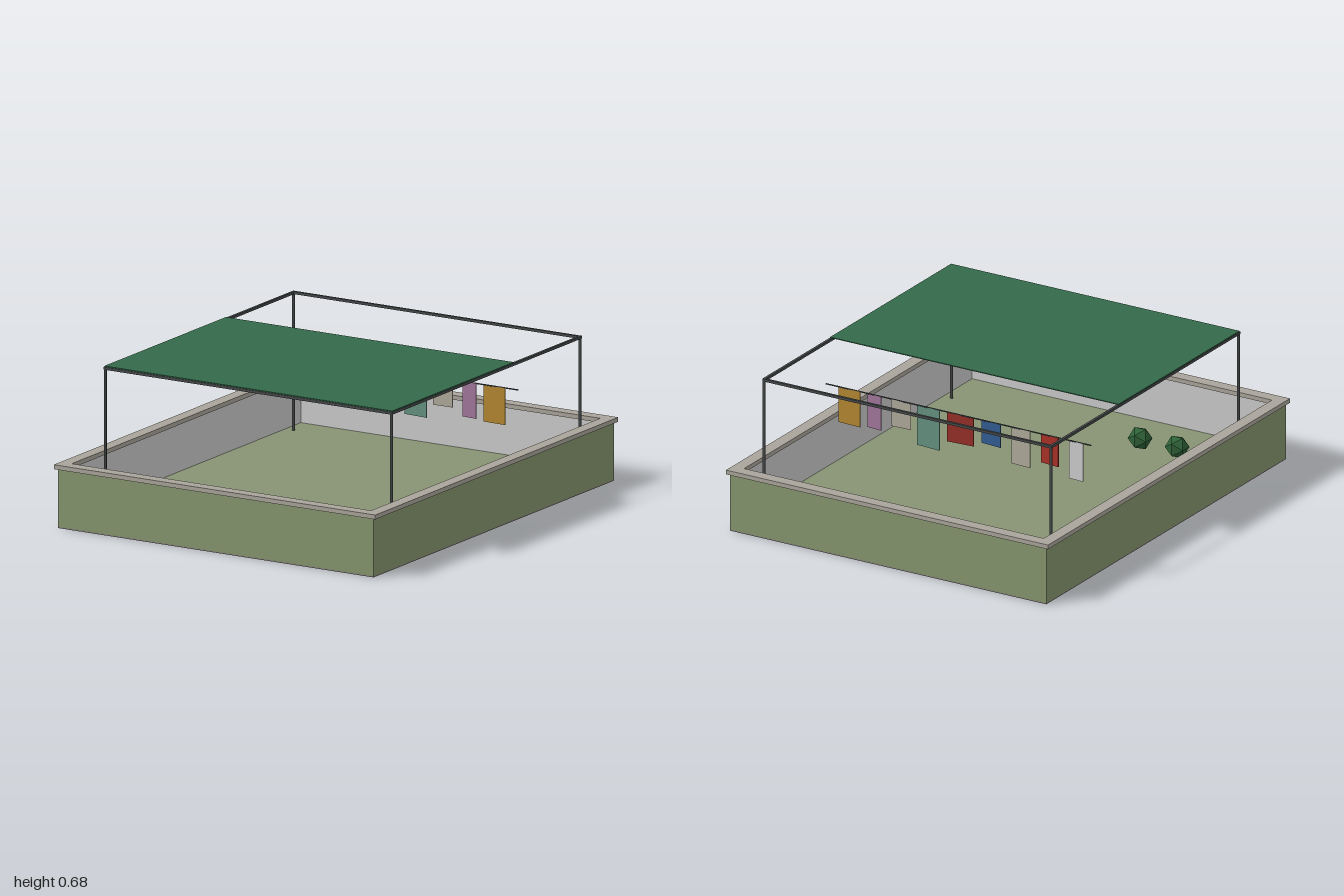
import * as THREE from 'three';

const FLOOR = 0.05;

export function createModel() {
  const model = new THREE.Group();
  const paint = (color) => new THREE.MeshStandardMaterial({ color });
  const steel = paint(0x454849);

  function add(name, geometry, material, x = 0, y = 0, z = 0, parent = model) {
    const mesh = new THREE.Mesh(geometry, material);
    mesh.name = name;
    mesh.position.set(x, y, z);
    parent.add(mesh);
    return mesh;
  }
  const box = (name, w, h, d, material, x, y, z, parent) =>
    add(name, new THREE.BoxGeometry(w, h, d), material, x, y, z, parent);

  // Rectangular ring lying flat: half sizes, wall thickness, bottom and top
  function ring(name, hx, hz, t, y0, y1, material) {
    const rect = (Type, a, b) => {
      const p = new Type();
      p.moveTo(-a, -b).lineTo(a, -b).lineTo(a, b).lineTo(-a, b).closePath();
      return p;
    };
    const shape = rect(THREE.Shape, hx, hz);
    shape.holes.push(rect(THREE.Path, hx - t, hz - t));
    const g = new THREE.ExtrudeGeometry(shape, { depth: y1 - y0, bevelEnabled: false });
    g.rotateX(-Math.PI / 2);
    add(name, g, material, 0, y0, 0);
  }

  // Roof slab, floor finish and parapet
  box('roofSlab', 1.62, 0.006, 1.98, paint(0x857f78), 0, 0.003, 0);
  box('terraceFloor', 1.56, FLOOR - 0.006, 1.92, paint(0x879473), 0, (FLOOR + 0.006) / 2, 0);
  ring('parapetOuterWall', 0.81, 0.99, 0.02, 0.006, 0.265, paint(0x85966e));
  ring('parapetInnerWall', 0.79, 0.97, 0.012, 0.006, 0.265, paint(0xbcbcbc));
  ring('parapetCoping', 0.825, 1, 0.057, 0.265, 0.285, paint(0xaaa59b));

  // Pergola frame
  const frame = new THREE.Group();
  frame.name = 'pergolaFrame';
  model.add(frame);
  const px = 0.735, front = 0.72, back = -0.83, top = 0.67, bar = 0.012;
  const middle = (front + back) / 2;
  for (const x of [-px, px]) {
    for (const z of [front, back]) {
      add('post', new THREE.CylinderGeometry(0.0065, 0.0065, top - FLOOR, 8), steel,
        x, (top + FLOOR) / 2, z, frame);
    }
    box('sideRail', bar, bar, front - back + bar, steel, x, top, middle, frame);
  }
  for (const z of [front, middle, back]) {
    box('crossRail', 2 * px + bar, bar, bar, steel, 0, top, z, frame);
  }

  // Shade sheet over the front part of the frame
  box('shadeSheet', 1.478, 0.004, 1.0, paint(0x34694a), 0, 0.678, 0.222);

  // Clothes line and laundry: left edge, right edge, bottom, colour, turn
  const lineY = 0.518, lineZ = -0.408;
  const rope = new THREE.CylinderGeometry(0.003, 0.003, 1.36, 6);
  rope.rotateZ(Math.PI / 2);
  add('clothesLine', rope, steel, 0, lineY, lineZ);
  const laundry = [
    [-0.64, -0.565, 0.34, 0xc4c4c6, -0.08],
    [-0.515, -0.42, 0.383, 0xa83228, -0.1],
    [-0.368, -0.27, 0.347, 0xb0aa9b, -0.05],
    [-0.22, -0.115, 0.41, 0x315d90, -0.09],
    [-0.075, 0.055, 0.383, 0x96302a, 0.06],
    [0.095, 0.215, 0.33, 0x64907f, -0.07],
    [0.245, 0.343, 0.393, 0xb0aa9b, 0.03],
    [0.395, 0.468, 0.36, 0xa0769a, -0.09],
    [0.502, 0.617, 0.352, 0xb38732, -0.04],
  ];
  for (const [x0, x1, bottom, color, turn] of laundry) {
    const h = lineY - bottom;
    box('laundry', x1 - x0, h, 0.004, paint(color),
      (x0 + x1) / 2, bottom + h / 2, lineZ).rotation.y = turn;
  }

  // Round shrubs near the front
  const leaf = paint(0x2f6238);
  leaf.flatShading = true;
  for (let i = 0; i < 3; i++) {
    add('shrub', new THREE.IcosahedronGeometry(0.054, 0), leaf, -0.66 + i * 0.19, FLOOR + 0.056, 0.64);
  }

  return model;
}
